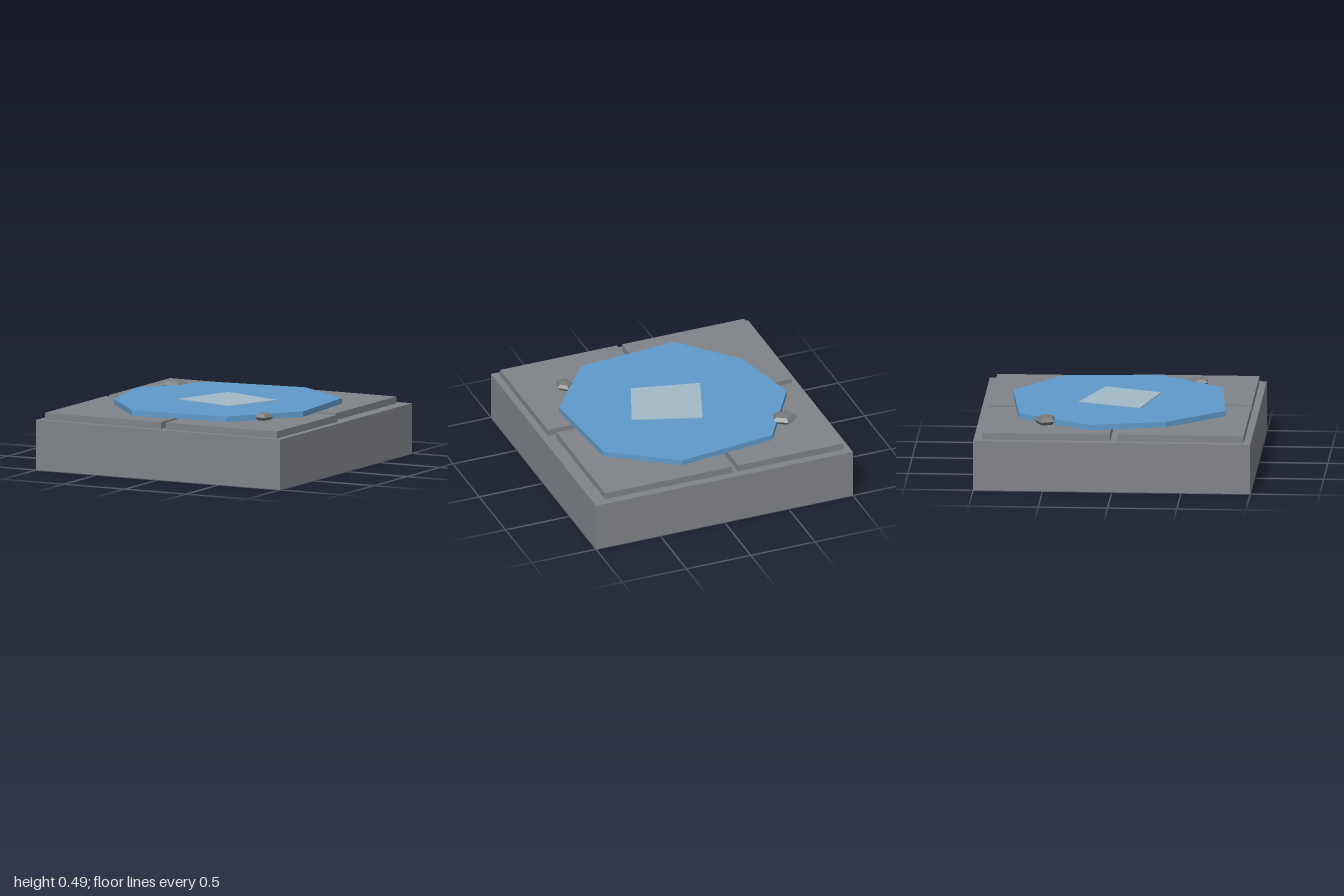
import * as THREE from 'three';

const material = (name, color) => {
  const m = new THREE.MeshStandardMaterial({ color, flatShading: true });
  m.name = name;
  return m;
};

export function createModel() {
  const model = new THREE.Group();
  model.name = 'puddleTile';
  const stone = material('stone', 0x808388);
  const water = material('water', 0x5f9aca);
  const shine = material('paleShine', 0xa2bac8);
  const rock = material('pebbleGrey', 0x77797b);

  const add = (name, geometry, mat) => {
    const mesh = new THREE.Mesh(geometry, mat);
    mesh.name = name;
    model.add(mesh);
    return mesh;
  };

  // Box from its x, y and z limits
  const block = (name, [x0, x1], [y0, y1], [z0, z1]) =>
    add(name, new THREE.BoxGeometry(x1 - x0, y1 - y0, z1 - z0), stone)
      .position.set((x0 + x1) / 2, (y0 + y1) / 2, (z0 + z1) / 2);

  // Flat plate from an outline of [x, z] corners
  const plate = (name, corners, bottom, top, mat) => {
    const shape = new THREE.Shape(corners.map(([x, z]) => new THREE.Vector2(x, -z)));
    const geometry = new THREE.ExtrudeGeometry(shape, { depth: top - bottom, bevelEnabled: false });
    geometry.rotateX(-Math.PI / 2).translate(0, bottom, 0);
    add(name, geometry, mat);
  };

  // Base and four paving slabs
  block('base', [-1, 1], [0, 0.365], [-1, 1]);
  const slabY = [0.365, 0.415];
  block('backRightSlab', [-0.95, -0.13], slabY, [-0.94, -0.015]);
  block('backLeftSlab', [-0.085, 0.905], slabY, [-0.94, -0.015]);
  block('frontRightSlab', [-0.95, 0], slabY, [0.04, 0.95]);
  block('frontLeftSlab', [0.04, 0.95], slabY, [0.04, 0.95]);

  // Puddle and its highlight
  plate('puddle', [
    [-0.495, -0.70], [0.245, -0.785], [0.72, -0.455], [0.78, 0.245],
    [0.41, 0.72], [-0.33, 0.78], [-0.70, 0.37], [-0.825, -0.165],
  ], 0.415, 0.455, water);
  plate('puddleHighlight', [
    [-0.12, -0.29], [0.365, -0.125], [0.205, 0.285], [-0.285, 0.165],
  ], 0.455, 0.461, shine);

  // Five-sided pebbles on the puddle's rim
  const pebble = (name, position, radii) => {
    const geometry = new THREE.SphereGeometry(1, 5, 4);
    geometry.rotateY(-Math.PI / 2).scale(...radii);
    add(name, geometry, rock).position.set(...position);
  };
  pebble('backPebble', [-0.667, 0.45, -0.497], [0.102, 0.037, 0.083]);
  pebble('frontPebble', [0.618, 0.445, 0.535], [0.066, 0.032, 0.08]);

  return model;
}
